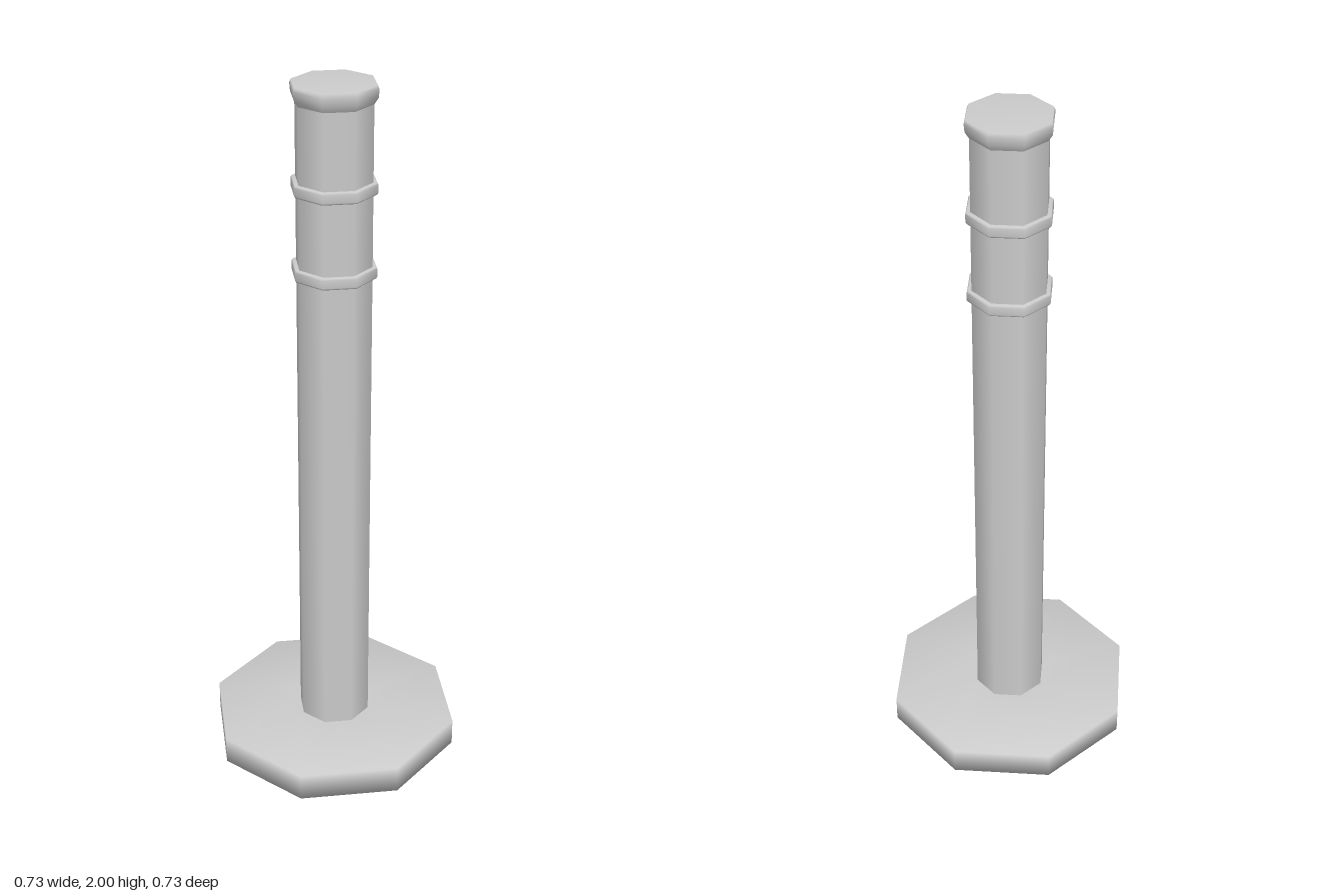
import * as THREE from 'three';

const SIDES = 8;
const material = new THREE.MeshStandardMaterial({ color: 0xcccccc });

// Eight-sided smooth turned part from [radius, height] pairs, listed bottom to top
function turned(name, profile) {
  const points = profile.map(([r, y]) => new THREE.Vector2(r, y));
  const mesh = new THREE.Mesh(new THREE.LatheGeometry(points, SIDES), material);
  mesh.name = name;
  return mesh;
}

export function createModel() {
  const group = new THREE.Group();
  group.name = 'bollard';

  // Wide flat foot
  group.add(turned('base', [[0, 0], [0.366, 0], [0.366, 0.08], [0.1, 0.08]]));

  // Straight post
  group.add(turned('post', [[0.105, 0.075], [0.105, 1.96]]));

  // Flared cap with a narrow bevelled lip
  group.add(turned('cap', [[0.105, 1.95], [0.116, 1.968], [0.118, 1.99], [0.114, 2], [0, 2]]));

  // Raised bands around the upper post
  for (const [name, y] of [['lowerBand', 1.495], ['upperBand', 1.728]]) {
    const band = turned(name, [
      [0.103, -0.016], [0.115, -0.016], [0.118, -0.011],
      [0.118, 0.011], [0.115, 0.016], [0.103, 0.016],
    ]);
    band.position.y = y;
    group.add(band);
  }

  return group;
}
